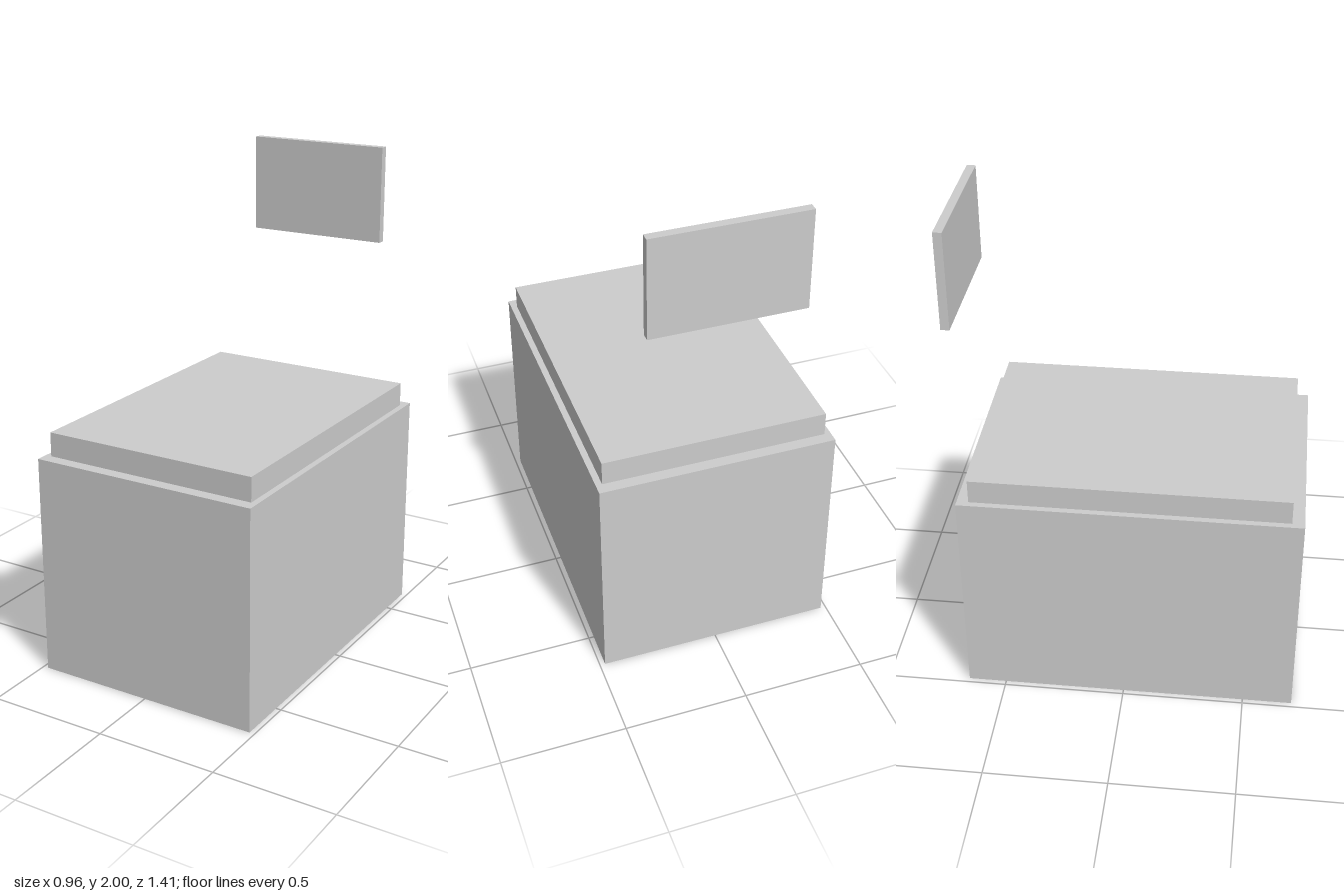
import * as THREE from 'three';

// Box given by its width (centred on x) and its y and z ranges
function slab(name, material, width, [y0, y1], [z0, z1]) {
  const mesh = new THREE.Mesh(new THREE.BoxGeometry(width, y1 - y0, z1 - z0), material);
  mesh.name = name;
  mesh.position.set(0, (y0 + y1) / 2, (z0 + z1) / 2);
  return mesh;
}

export function createModel() {
  const lightGrey = new THREE.MeshStandardMaterial({ color: 0xcccccc });
  lightGrey.name = 'light grey';

  const model = new THREE.Group();
  model.name = 'boxWithPanel';
  model.add(
    // Main block standing on the ground
    slab('base', lightGrey, 0.957, [0, 0.915], [-0.657, 0.703]),
    // Slightly inset slab on top
    slab('topSlab', lightGrey, 0.906, [0.915, 1.014], [-0.61, 0.653]),
    // Thin panel floating behind and above
    slab('backPanel', lightGrey, 0.606, [1.598, 2], [-0.703, -0.668]),
  );
  return model;
}
